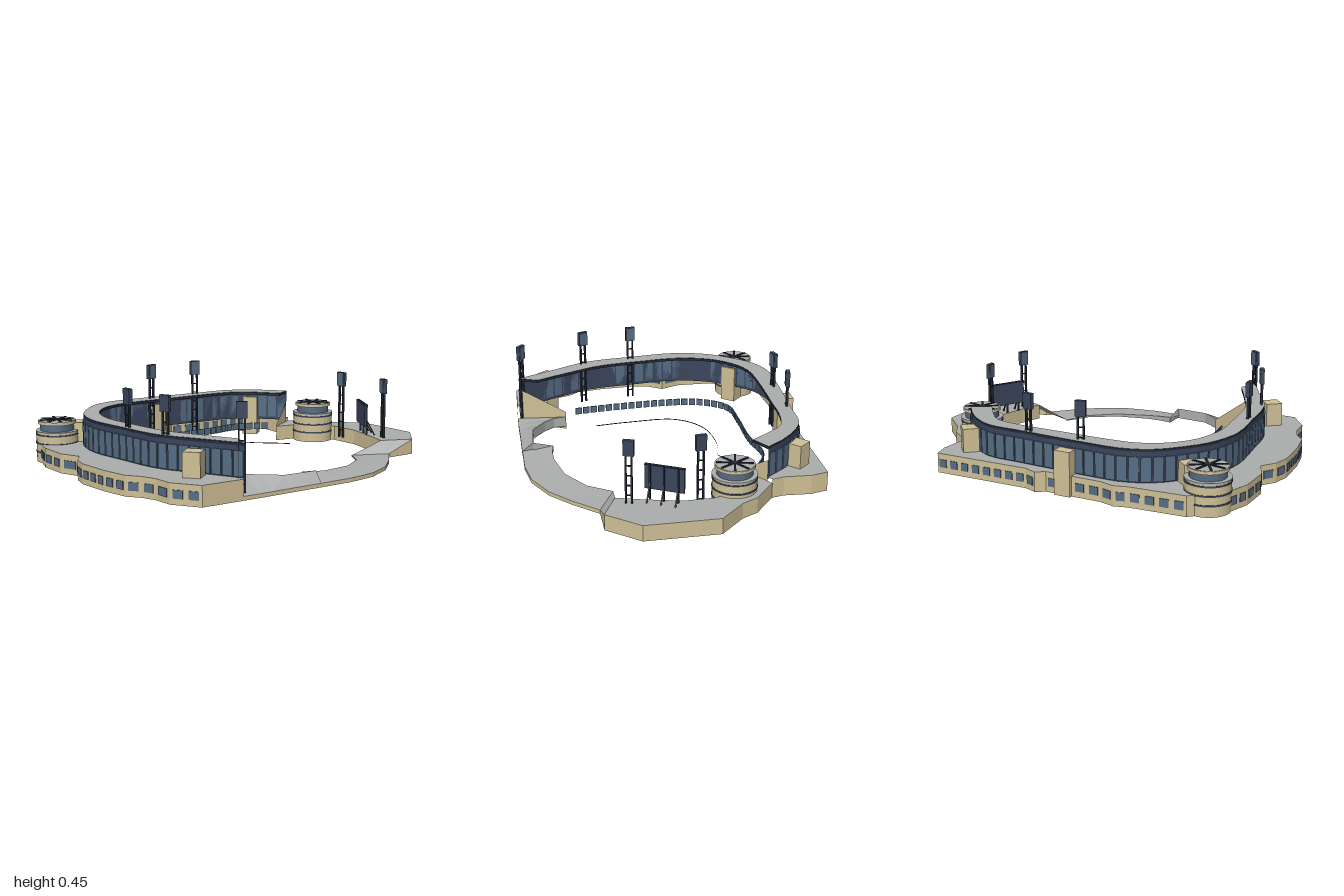
import * as THREE from 'three';

const mat = (name, hex, side = THREE.FrontSide) => {
  const m = new THREE.MeshStandardMaterial({ color: hex, side });
  m.name = name;
  return m;
};

export function createModel() {
  const root = new THREE.Group();
  root.name = 'stadium';
  const D = THREE.DoubleSide;
  const stone = mat('sandstone', 0xcfc096, D);
  const grey = mat('concreteGrey', 0xabaeac, D);
  const navy = mat('navyWall', 0x3a455c, D);
  const glass = mat('blueGlass', 0x566c84, D);
  const dark = mat('darkSteel', 0x232a38, D);

  const add = (geo, m, name, parent = root) => {
    const mesh = new THREE.Mesh(geo, m);
    mesh.name = name;
    parent.add(mesh);
    return mesh;
  };
  const box = (w, h, d, x, y, z, m, name, parent = root) => {
    const b = add(new THREE.BoxGeometry(w, h, d), m, name, parent);
    b.position.set(x, y, z);
    return b;
  };
  // Smooth curve through plan points
  const smooth = (pts, n) => new THREE.CatmullRomCurve3(
    pts.map(([x, z]) => new THREE.Vector3(x, 0, z)), false, 'centripetal')
    .getSpacedPoints(n).map(p => [p.x, p.z]);
  // Surface between two equally long lists of [x, y, z]
  const strip = (a, b, m, name) => {
    const v = [];
    for (let i = 0; i + 1 < a.length; i++) {
      v.push(...a[i], ...b[i], ...b[i + 1], ...a[i], ...b[i + 1], ...a[i + 1]);
    }
    const g = new THREE.BufferGeometry();
    g.setAttribute('position', new THREE.Float32BufferAttribute(v, 3));
    g.computeVertexNormals();
    return add(g, m, name);
  };
  const at = (path, y) => path.map(([x, z]) => [x, y, z]);
  // Vertical wall over a plan path, facing the left of travel
  const wall = (path, y0, y1, m, name) => strip(at(path, y0), at(path, y1), m, name);
  // Flat slab surface from a plan outline
  const flat = (path, y, m, name) => {
    const s = new THREE.Shape(path.map(([x, z]) => new THREE.Vector2(x, -z)));
    const g = new THREE.ShapeGeometry(s).rotateX(-Math.PI / 2);
    return add(g.translate(0, y, 0), m, name);
  };
  // Thin plates, one per path segment
  const plates = (path, frac, y0, y1, off, m, name) => {
    for (let i = 0; i + 1 < path.length; i++) {
      const [x0, z0] = path[i], [x1, z1] = path[i + 1];
      const dx = x1 - x0, dz = z1 - z0, l = Math.hypot(dx, dz);
      const p = box(l * frac, y1 - y0, 0.006, (x0 + x1) / 2 + dz / l * off, (y0 + y1) / 2,
        (z0 + z1) / 2 - dx / l * off, m, name);
      p.rotation.y = -Math.atan2(dz, dx);
    }
  };

  // Plan lines, from the front left corner round the back
  const podium = [[-0.34, 0.802], [-0.556, 0.845], [-0.67, 0.74], [-0.7, 0.64], [-0.745, 0.57],
    [-0.807, 0.52], [-0.866, 0.385], [-0.92, 0.2], [-0.92, 0.107], [-0.888, 0.027], [-0.957, -0.07],
    [-0.995, -0.24], [-0.985, -0.37], [-0.877, -0.54], [-0.6, -0.62], [-0.54, -0.652], [-0.46, -0.647],
    [-0.17, -0.71], [-0.134, -0.75], [-0.064, -0.738], [0.433, -0.856], [0.476, -0.775], [0.5, -0.64],
    [0.53, -0.583]];
  const roofOut = smooth([[-0.33, 0.786], [-0.476, 0.615], [-0.62, 0.444], [-0.717, 0.198],
    [-0.797, -0.053], [-0.79, -0.24], [-0.738, -0.374], [-0.652, -0.508], [-0.53, -0.588],
    [-0.396, -0.62], [0.03, -0.695], [0.193, -0.722], [0.3, -0.695], [0.406, -0.64], [0.508, -0.56]], 48);
  const roofIn = smooth([[-0.31, 0.68], [-0.45, 0.508], [-0.556, 0.364], [-0.647, 0.134], [-0.711, -0.08],
    [-0.7, -0.267], [-0.626, -0.4], [-0.53, -0.476], [-0.42, -0.513], [-0.13, -0.578], [0.14, -0.63],
    [0.246, -0.625], [0.326, -0.572], [0.43, -0.485]], 48);
  const back = roofOut.slice().reverse();

  // Main podium
  wall(podium, 0, 0.1, stone, 'podiumWall');
  flat([...podium, ...back], 0.1, grey, 'podiumDeck');
  for (let i = 1; i < 20; i++) {
    const [a, b] = [podium[i], podium[i + 1]];
    const l = Math.hypot(b[0] - a[0], b[1] - a[1]), n = Math.floor(l / 0.062);
    if (i === 12 || n < 1) continue;
    const seg = [];
    for (let k = 0; k <= n; k++) seg.push([a[0] + (b[0] - a[0]) * k / n, a[1] + (b[1] - a[1]) * k / n]);
    plates(seg, 0.62, 0.03, 0.07, 0.001, glass, 'podiumWindow');
  }

  // Upper stand: wall, glazing and roof
  wall(roofOut, 0.09, 0.25, navy, 'standWall');
  plates(roofOut, 0.86, 0.105, 0.225, 0.003, glass, 'facadePane');
  flat([...roofOut, ...roofIn.slice().reverse()], 0.262, grey, 'roofTop');
  flat([...roofOut, ...roofIn.slice().reverse()], 0.248, dark, 'roofUnderside');
  for (const edge of [roofOut, roofIn, [roofOut[0], roofIn[0]], [roofOut[48], roofIn[48]]]) {
    wall(edge, 0.247, 0.261, dark, 'roofEdge');
  }

  // Sloping end walls of the stand
  strip([[-0.335, 0, 0.79], [-0.257, 0, 0.52]], [[-0.335, 0.2, 0.79], [-0.257, 0.1, 0.52]], stone, 'frontEndWall');
  strip([[0.508, 0, -0.56], [0.39, 0, -0.44]], [[0.508, 0.19, -0.56], [0.39, 0.09, -0.44]], stone, 'backEndWall');

  // Ring of suite windows and the line around the field
  plates(smooth([[-0.33, 0.48], [-0.39, 0.32], [-0.48, 0.02], [-0.51, -0.2], [-0.44, -0.36], [-0.26, -0.42],
    [-0.016, -0.475], [0.2, -0.55], [0.37, -0.51]], 40), 0.8, 0.055, 0.092, 0, glass, 'suiteWindow');
  wall(smooth([[-0.3, 0.36], [-0.36, 0.19], [-0.417, -0.07], [-0.319, -0.225], [-0.1, -0.31], [0.055, -0.32],
    [0.158, -0.426], [0.416, -0.31]], 40), 0, 0.005, dark, 'fieldEdge');

  // Right deck and its ramp
  const rightOut = [[0.53, -0.583], [0.69, -0.51], [0.754, -0.44], [0.91, -0.348], [1, 0.01], [0.904, 0.193]];
  const rightIn = [[0.73, 0.16], [0.74, 0.03], [0.743, -0.16], [0.7, -0.32], [0.53, -0.45], [0.39, -0.44]];
  flat([...rightOut, ...rightIn, [0.508, -0.56]], 0.08, grey, 'rightDeck');
  wall(rightOut, 0, 0.08, stone, 'rightDeckWall');
  wall(rightIn, 0, 0.08, stone, 'rightDeckInnerWall');
  strip([[0.73, 0.08, 0.16], [0.904, 0.08, 0.193]], [[0.54, 0.02, 0.187], [0.743, 0.02, 0.23]], grey, 'ramp');
  strip([[0.904, 0, 0.193], [0.743, 0, 0.23]], [[0.904, 0.08, 0.193], [0.743, 0.02, 0.23]], stone, 'rampWall');

  // Low front deck rising to a bank beside the notch
  const lowOut = [[0.743, 0.23], [0.66, 0.37], [0.567, 0.497], [0.433, 0.604], [0.283, 0.663], [0.14, 0.695],
    [0.1, 0.705], [-0.075, 0.744], [-0.18, 0.768], [-0.25, 0.784], [-0.34, 0.802]];
  const lowIn = [[0.54, 0.02, 0.187], [0.497, 0.025, 0.32], [0.38, 0.03, 0.444], [0.22, 0.035, 0.52],
    [0.14, 0.04, 0.54], [0.075, 0.045, 0.545], [0.1, 0.07, 0.647], [-0.075, 0.07, 0.674],
    [-0.18, 0.07, 0.626], [-0.235, 0.07, 0.583], [-0.257, 0.07, 0.52]];
  strip(lowIn, at(lowOut, 0.02), grey, 'frontDeck');
  wall(lowOut, 0, 0.02, stone, 'frontDeckWall');
  strip(lowIn.map(([x, , z]) => [x, 0.015, z]), lowIn, grey, 'frontDeckInnerWall');

  // Stair towers
  for (const [x, z, turn, h] of [[-0.26, -0.665, 0.22, 0.22], [0.35, -0.71, -0.6, 0.22],
    [-0.525, 0.66, -0.65, 0.22], [-0.77, -0.385, -0.5, 0.2]]) {
    box(0.085, h, 0.085, x, h / 2, z, stone, 'stairTower').rotation.y = turn;
  }

  // Round corner towers
  for (const x of [-0.89, 0.6]) {
    const g = new THREE.Group();
    g.name = 'roundTower';
    g.position.set(x, 0, -0.4);
    root.add(g);
    const drum = (r, y0, y1, m, name) => {
      add(new THREE.CylinderGeometry(r, r, y1 - y0, 40), m, name, g).position.y = (y0 + y1) / 2;
    };
    drum(0.108, 0, 0.155, stone, 'drum');
    for (const y of [0.05, 0.095, 0.14]) drum(0.111, y, y + 0.008, navy, 'drumBand');
    drum(0.111, 0.155, 0.162, grey, 'drumLedge');
    drum(0.088, 0.162, 0.197, glass, 'lantern');
    drum(0.098, 0.197, 0.212, stone, 'lanternCap');
    drum(0.095, 0.212, 0.214, grey, 'lanternRoof');
    for (let i = 0; i < 4; i++) {
      box(0.18, 0.006, 0.01, 0, 0.216, 0, dark, 'roofSpoke', g).rotation.y = i * Math.PI / 4;
    }
  }

  // Floodlight masts, lamps turned to the field
  for (const [x, z, top] of [[-0.3, -0.605, 0.45], [-0.02, -0.668, 0.45], [-0.69, 0.2, 0.45],
    [-0.59, 0.46, 0.45], [-0.335, 0.77, 0.45], [0.7, -0.24, 0.4], [0.78, 0.09, 0.4]]) {
    const g = new THREE.Group();
    g.name = 'floodlight';
    g.position.set(x, 0, z);
    g.rotation.y = Math.atan2(-x, -z);
    root.add(g);
    box(0.052, 0.078, 0.02, 0, top - 0.039, 0, navy, 'lampHousing', g);
    box(0.046, 0.07, 0.004, 0, top - 0.039, 0.011, glass, 'lampPanel', g);
    const h = top - 0.1;
    for (const sx of [-1, 1]) box(0.008, h, 0.012, sx * 0.014, 0.03 + h / 2, 0, dark, 'mastLeg', g);
    for (let y = 0.07; y < top - 0.08; y += 0.05) box(0.028, 0.005, 0.008, 0, y, 0, dark, 'mastRung', g);
  }

  // Scoreboard on braced legs
  const board = new THREE.Group();
  board.name = 'scoreboard';
  board.position.set(0.74, 0, -0.075);
  board.rotation.y = -Math.PI / 2 - 0.27;
  root.add(board);
  box(0.195, 0.12, 0.012, 0, 0.19, 0, navy, 'boardPanel', board);
  box(0.2, 0.006, 0.016, 0, 0.252, 0, dark, 'boardTopRail', board);
  for (const s of [-0.07, 0, 0.07]) {
    box(0.008, 0.17, 0.008, s, 0.165, -0.012, dark, 'boardLeg', board);
    box(0.006, 0.12, 0.006, s, 0.12, -0.035, dark, 'boardBrace', board).rotation.x = 0.5;
  }
  return root;
}
